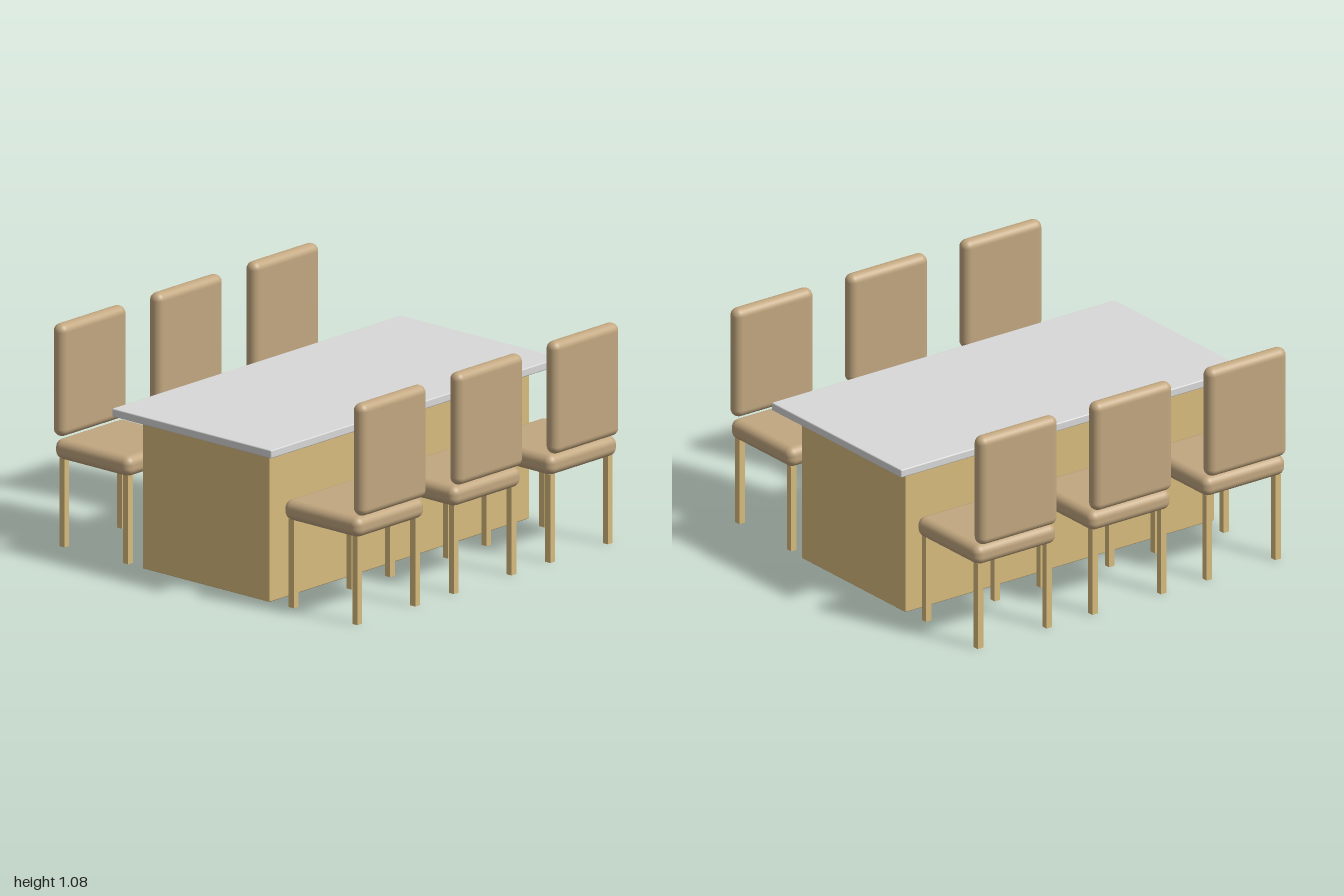
import * as THREE from 'three';
import { RoundedBoxGeometry } from 'three/addons/geometries/RoundedBoxGeometry.js';

const paint = (name, color) => {
  const m = new THREE.MeshStandardMaterial({ color });
  m.name = name;
  return m;
};

export function createModel() {
  const wood = paint('light wood', 0xd8bb7e);
  const fabric = paint('tan upholstery', 0xc2a780);
  const stone = paint('pale grey top', 0xd8d8d8);

  const add = (parent, name, geometry, material, x, y, z) => {
    const mesh = new THREE.Mesh(geometry, material);
    mesh.name = name;
    mesh.position.set(x, y, z);
    parent.add(mesh);
  };

  const model = new THREE.Group();
  model.name = 'diningSet';

  // Table: solid plinth with a thin top floating just above it
  const table = new THREE.Group();
  table.name = 'table';
  add(table, 'tableBase', new RoundedBoxGeometry(1.8, 0.718, 0.8, 2, 0.006), wood, 0, 0.364, 0);
  add(table, 'tableTop', new RoundedBoxGeometry(2, 0.04, 1, 2, 0.006), stone, 0, 0.766, 0);
  model.add(table);

  // Shared chair parts
  const seat = new RoundedBoxGeometry(0.476, 0.098, 0.476, 5, 0.04);
  const back = new RoundedBoxGeometry(0.458, 0.547, 0.076, 5, 0.0375);
  const leg = new THREE.BoxGeometry(0.032, 0.43, 0.032);

  // Three chairs on each side, backs facing outward
  for (const side of [1, -1]) {
    for (const column of [-1, 0, 1]) {
      const chair = new THREE.Group();
      chair.name = 'chair';
      add(chair, 'seat', seat, fabric, 0, 0.474, 0);
      add(chair, 'backrest', back, fabric, 0, 0.804, 0.222);
      for (const x of [-0.2, 0.2]) {
        for (const z of [-0.2, 0.2]) add(chair, 'leg', leg, wood, x, 0.215, z);
      }
      chair.position.set(column * 0.667, 0, side * 0.72);
      if (side < 0) chair.rotation.y = Math.PI;
      model.add(chair);
    }
  }
  return model;
}
